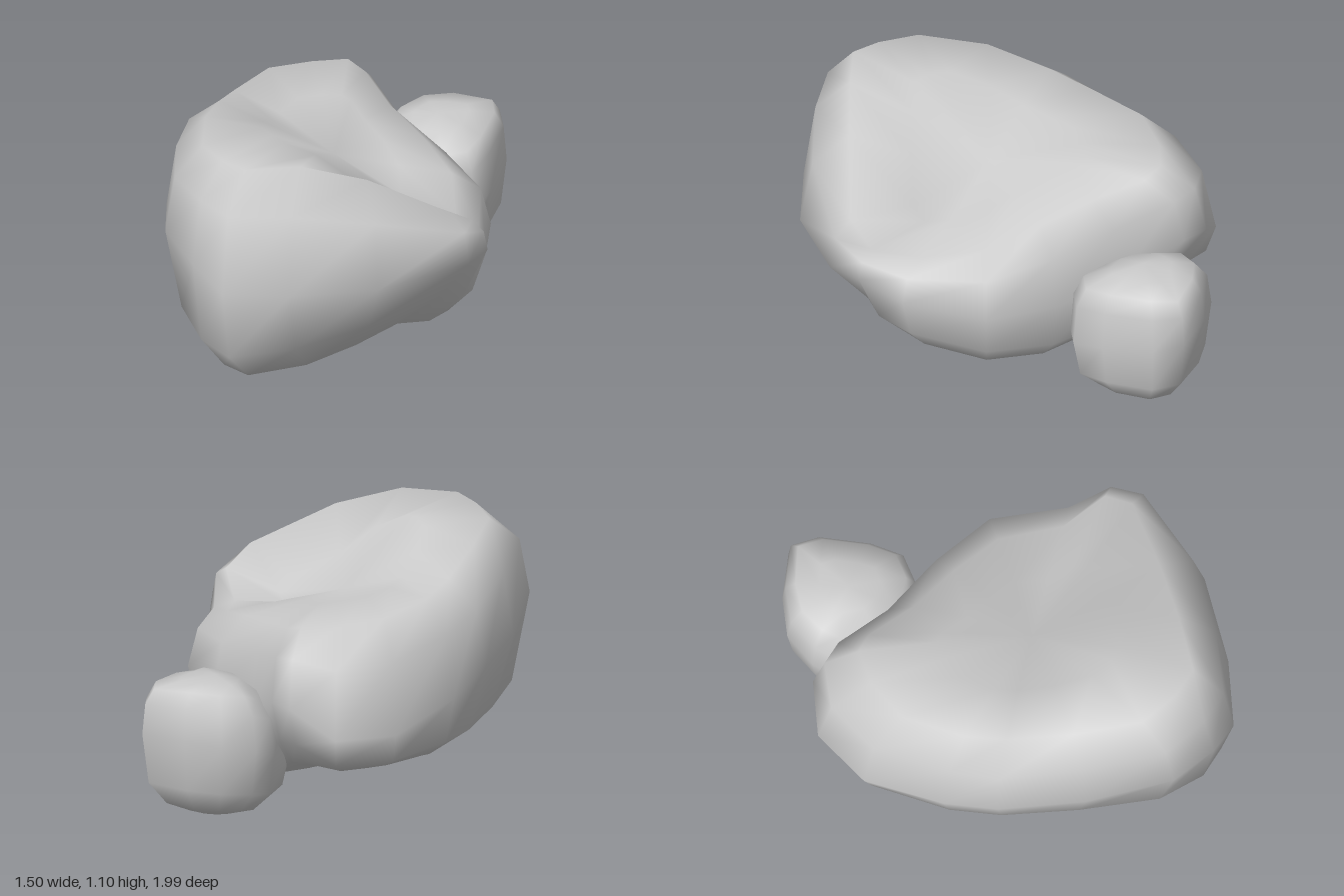
import * as THREE from 'three';
import { mergeVertices } from 'three/addons/utils/BufferGeometryUtils.js';

const lerp = THREE.MathUtils.lerp;
const material = new THREE.MeshStandardMaterial({ color: 0xcccccc });

// Each spoke: [x, z, girth height, base inset, base height, shoulder inset, shoulder height, lower roundness].
// Spokes run counter-clockwise seen from above, around a centre axis; crown holds the inner top heights.
function boulder(name, spokes, { cx, cz, baseY, topY, crown }) {
  const rings = spokes.map(([x, z, midY, baseF, bottom, topF, top, round], i) => {
    const profile = [
      [0, baseY],
      [baseF * 0.5, lerp(baseY, bottom, 0.35)],
      [baseF, bottom],
      [lerp(baseF, 1, 0.5 + 0.24 * round), lerp(bottom, midY, 0.5 - 0.18 * round)],
      [1, midY],
      [lerp(topF, 1, 0.75), lerp(midY, top, 0.68)],
      [topF, top],
      [topF * 0.55, crown[i]],
      [0, topY],
    ];
    return profile.map(([f, y]) => [lerp(cx, x, f), y, lerp(cz, z, f)]);
  });
  const rows = rings[0].length;
  const index = [];
  rings.forEach((_, i) => {
    const a = i * rows, b = ((i + 1) % rings.length) * rows;
    for (let j = 0; j < rows - 1; j++) {
      if (j > 0) index.push(a + j, b + j, b + j + 1);
      if (j < rows - 2) index.push(a + j, b + j + 1, a + j + 1);
    }
  });
  let geometry = new THREE.BufferGeometry();
  geometry.setAttribute('position', new THREE.Float32BufferAttribute(rings.flat(2), 3));
  geometry.setIndex(index);
  geometry = mergeVertices(geometry);
  geometry.computeVertexNormals();
  const mesh = new THREE.Mesh(geometry, material);
  mesh.name = name;
  return mesh;
}

export function createModel() {
  const group = new THREE.Group();
  group.name = 'rocks';

  // Large rock: high front ridge, lower swell behind it and a shallow valley running out to the side
  const large = [
    [-0.35, 0.99, 0.55, 0.77, 0.05, 0.80, 1.09, 1],
    [-0.05, 0.97, 0.56, 0.62, 0.05, 0.75, 1.10, 0.7],
    [0.33, 0.87, 0.58, 0.50, 0.09, 0.74, 1.02, 0.3],
    [0.69, 0.62, 0.62, 0.47, 0.14, 0.87, 0.83, 0.2],
    [0.745, 0.47, 0.62, 0.62, 0.16, 0.90, 0.74, 0.4],
    [0.70, 0.28, 0.50, 0.75, 0.17, 0.80, 0.66, 0.6],
    [0.65, -0.09, 0.45, 0.80, 0.14, 0.75, 0.71, 0.8],
    [0.43, -0.35, 0.43, 0.80, 0.10, 0.75, 0.77, 1],
    [0.17, -0.57, 0.45, 0.78, 0.11, 0.78, 0.82, 1],
    [-0.02, -0.80, 0.58, 0.72, 0.22, 0.80, 0.87, 0.5],
    [-0.13, -0.87, 0.58, 0.74, 0.25, 0.79, 0.90, 0.5],
    [-0.34, -0.85, 0.45, 0.83, 0.26, 0.75, 0.90, 1],
    [-0.55, -0.65, 0.44, 0.82, 0.25, 0.77, 0.92, 1],
    [-0.69, -0.30, 0.52, 0.72, 0.20, 0.76, 0.94, 1],
    [-0.75, -0.06, 0.60, 0.60, 0.14, 0.74, 0.98, 0.9],
    [-0.73, 0.33, 0.63, 0.58, 0.12, 0.77, 1.05, 0.9],
    [-0.66, 0.72, 0.70, 0.66, 0.09, 0.78, 1.07, 0.9],
    [-0.50, 0.90, 0.64, 0.78, 0.06, 0.79, 1.08, 1],
  ];
  group.add(boulder('largeRock', large, {
    cx: -0.02, cz: 0.1, baseY: 0.04, topY: 0.83,
    crown: [1.07, 1.01, 0.88, 0.76, 0.71, 0.70, 0.76, 0.82, 0.86,
      0.89, 0.90, 0.91, 0.92, 0.92, 0.94, 1.01, 1.07, 1.08],
  }));

  // Small rock resting against the back, leaning under the large one
  const small = [
    [0.18, -0.41, 0.24, 0.65, 0.04, 0.72, 0.54, 1],
    [0.37, -0.395, 0.28, 0.60, 0.04, 0.82, 0.57, 1],
    [0.50, -0.45, 0.30, 0.64, 0.05, 0.82, 0.58, 1],
    [0.55, -0.60, 0.34, 0.68, 0.05, 0.82, 0.60, 1],
    [0.575, -0.84, 0.38, 0.68, 0.06, 0.82, 0.62, 1],
    [0.53, -0.97, 0.42, 0.66, 0.08, 0.84, 0.62, 1],
    [0.32, -1.00, 0.42, 0.65, 0.07, 0.80, 0.63, 1],
    [0.15, -0.98, 0.40, 0.65, 0.07, 0.75, 0.62, 1],
    [0.03, -0.87, 0.36, 0.65, 0.06, 0.72, 0.60, 1],
    [-0.02, -0.77, 0.32, 0.65, 0.05, 0.68, 0.57, 1],
    [0.01, -0.51, 0.24, 0.65, 0.04, 0.62, 0.54, 1],
  ];
  group.add(boulder('smallRock', small, {
    cx: 0.29, cz: -0.71, baseY: 0, topY: 0.65,
    crown: [0.62, 0.62, 0.63, 0.63, 0.64, 0.64, 0.64, 0.64, 0.63, 0.63, 0.62],
  }));
  return group;
}
